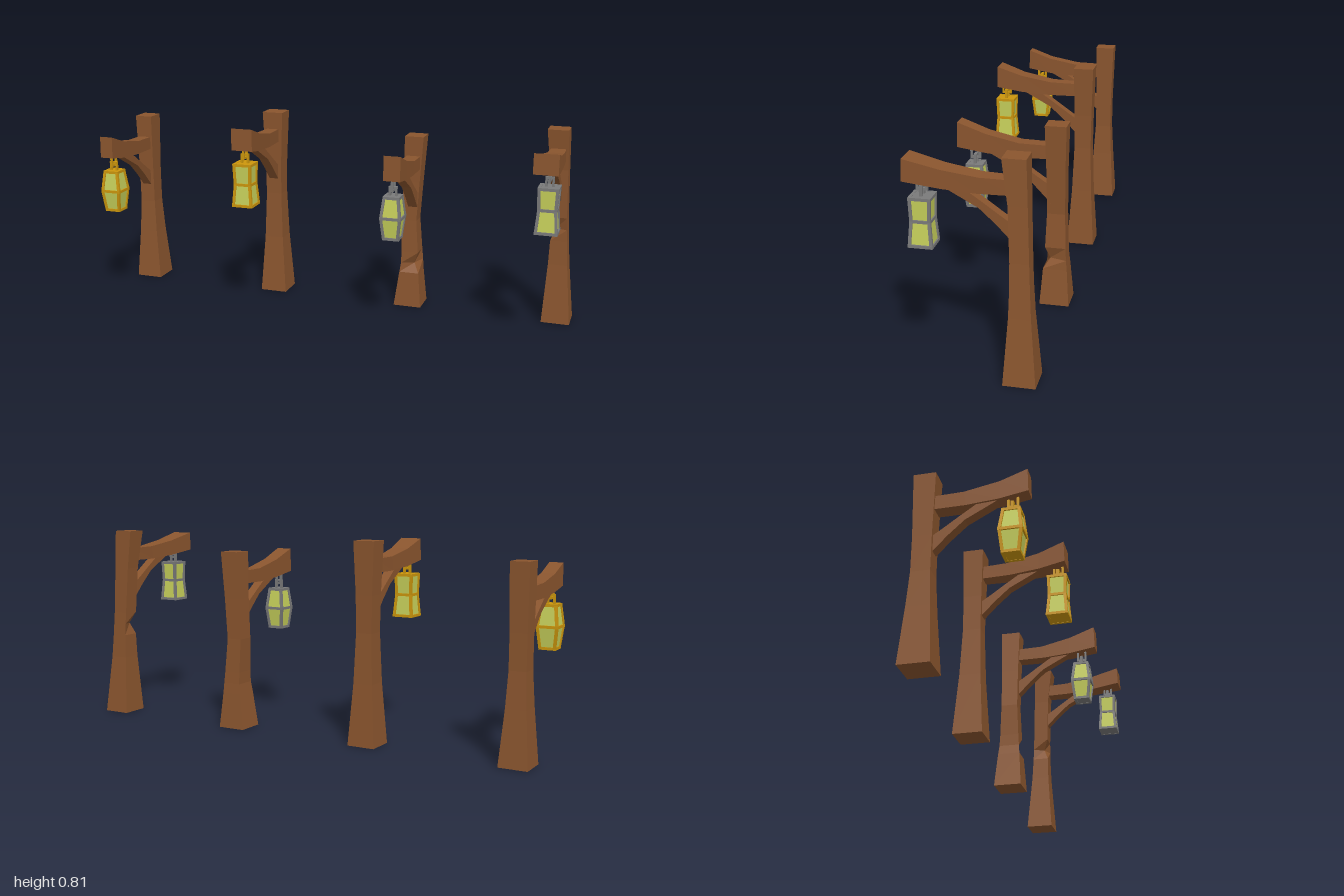
import * as THREE from 'three';

const mat = (name, color, flat = true) => {
  const m = new THREE.MeshStandardMaterial({ color, flatShading: flat });
  m.name = name;
  return m;
};

// Skin a run of four-cornered rings and cap both ends
function loft(rings) {
  const pos = [];
  const quad = (a, b, c, d) => [a, b, c, a, c, d].forEach((p) => pos.push(...p));
  for (let i = 0; i < rings.length - 1; i++) {
    for (let j = 0; j < 4; j++) {
      const k = (j + 1) % 4;
      quad(rings[i][j], rings[i][k], rings[i + 1][k], rings[i + 1][j]);
    }
  }
  const s = rings[0], e = rings[rings.length - 1];
  quad(s[3], s[2], s[1], s[0]);
  quad(e[0], e[1], e[2], e[3]);
  const g = new THREE.BufferGeometry();
  g.setAttribute('position', new THREE.Float32BufferAttribute(pos, 3));
  g.computeVertexNormals();
  return g;
}

// Upright section: [y, centre x, centre z, half x, half z, dented corner, dent depth]
const CORNERS = [[1, 1], [1, -1], [-1, -1], [-1, 1]];
const upright = (sections) => loft(sections.map(([y, x, z, hx, hz, corner, dent]) =>
  CORNERS.map(([sx, sz], i) => {
    const d = i === corner ? dent : 0;
    return [x + sx * (hx - d), y, z + sz * (hz - d)];
  })));

// Section of an arm running forwards: [bottom z, bottom y, top z, top y, half width, centre x]
const arm = (sections) => loft(sections.map(([zb, yb, zt, yt, h, x]) =>
  [[x + h, yb, zb], [x + h, yt, zt], [x - h, yt, zt], [x - h, yb, zb]]));

function add(group, name, geometry, material) {
  const m = new THREE.Mesh(geometry, material);
  m.name = name;
  group.add(m);
  return m;
}

function box(group, name, material, w, h, d, x, y, z) {
  const m = add(group, name, new THREE.BoxGeometry(w, h, d), material);
  m.position.set(x, y, z);
  return m;
}

// Square bar between two points
function bar(group, name, material, a, b, w) {
  const from = new THREE.Vector3(...a), to = new THREE.Vector3(...b);
  const m = add(group, name, new THREE.BoxGeometry(w, from.distanceTo(to), w), material);
  m.position.copy(from).lerp(to, 0.5);
  m.quaternion.setFromUnitVectors(new THREE.Vector3(0, 1, 0), to.sub(from).normalize());
}

// Two-tier lantern; levels are [y, half width] from the bottom up
function lantern(levels, metal, glass) {
  const g = new THREE.Group();
  g.name = 'lantern';
  const w = 0.011;
  add(g, 'glass', upright(levels.map(([y, h]) => [y, 0, 0, h - 0.005, h - 0.005])), glass);
  levels.forEach(([y, h], i) => {
    const c = h - w / 2;
    for (const s of [-1, 1]) {
      box(g, 'rail', metal, 2 * h, w, w, 0, y, s * c);
      box(g, 'rail', metal, w, w, 2 * h, s * c, y, 0);
    }
    if (i !== 1) box(g, i ? 'lid' : 'floor', metal, 2 * h - w, 0.009, 2 * h - w, 0, y, 0);
    if (i === levels.length - 1) return;
    const [y2, h2] = levels[i + 1], c2 = h2 - w / 2;
    for (const [sx, sz] of CORNERS) {
      bar(g, 'cornerBar', metal, [sx * c, y, sz * c], [sx * c2, y2, sz * c2], w);
    }
  });
  // Staple under the beam and the link hooked through it
  const top = levels[2][0];
  for (const s of [-1, 1]) {
    box(g, 'stapleLeg', metal, 0.009, 0.042, 0.009, 0, top + 0.046, s * 0.017);
    box(g, 'linkLeg', metal, 0.008, 0.035, 0.012, s * 0.013, top + 0.017, 0);
  }
  box(g, 'stapleBar', metal, 0.009, 0.009, 0.043, 0, top + 0.026, 0);
  box(g, 'linkBar', metal, 0.034, 0.009, 0.012, 0, top + 0.038, 0);
  return g;
}

export function createModel() {
  const root = new THREE.Group();
  const wood = mat('wood', 0x8a552e);
  const gold = mat('gold', 0xcc960c);
  const iron = mat('iron', 0x7a7a7a);
  const glass = mat('glass', 0xc6cf5a);

  const barrel = [[-0.085, 0.034], [0, 0.044], [0.083, 0.034]];
  const bell = [[-0.085, 0.044], [0.003, 0.037], [0.085, 0.04]];
  const Z = -0.174;

  // Each lamp: post sections, arm drop, beam widths and reach, lantern
  const lamps = [
    {
      post: [[0, -0.942, Z, 0.058, 0.059], [0.22, -0.943, Z, 0.041, 0.044],
        [0.36, -0.943, Z, 0.034, 0.036], [0.5, -0.943, Z, 0.034, 0.036], [0.757, -0.943, Z, 0.038, 0.042]],
      x0: -0.943, x1: -0.943, drop: 0.075, w0: 0.027, w1: 0.028, end: 0.2, rise: 0.725,
      shape: barrel, metal: gold, at: [-0.945, 0.482, 0.143],
    },
    {
      post: [[0, -0.315, Z, 0.058, 0.059], [0.25, -0.315, Z, 0.041, 0.043],
        [0.45, -0.315, Z, 0.034, 0.036], [0.6, -0.315, Z, 0.036, 0.037], [0.81, -0.315, Z, 0.045, 0.042]],
      x0: -0.315, x1: -0.315, drop: 0, w0: 0.025, w1: 0.045, end: 0.205, rise: 0.8,
      shape: bell, metal: gold, at: [-0.315, 0.565, 0.174],
    },
    {
      post: [[0, 0.305, Z, 0.059, 0.059], [0.15, 0.308, Z, 0.042, 0.048],
        [0.19, 0.31, Z, 0.038, 0.044, 0, 0.022], [0.24, 0.308, Z, 0.036, 0.041],
        [0.38, 0.3, Z, 0.033, 0.036], [0.55, 0.309, Z, 0.035, 0.037], [0.745, 0.318, Z, 0.04, 0.042]],
      x0: 0.316, x1: 0.318, drop: 0.075, w0: 0.028, w1: 0.034, end: 0.213, rise: 0.735,
      shape: barrel, metal: iron, at: [0.308, 0.475, 0.152],
    },
    {
      post: [[0, 0.938, Z, 0.058, 0.059], [0.25, 0.933, -0.172, 0.039, 0.04],
        [0.35, 0.931, -0.171, 0.034, 0.036], [0.4, 0.929, -0.17, 0.033, 0.035, 3, 0.02],
        [0.45, 0.926, -0.169, 0.033, 0.034], [0.65, 0.917, -0.163, 0.036, 0.034],
        [0.815, 0.907, -0.15, 0.042, 0.042]],
      x0: 0.912, x1: 0.908, drop: 0, w0: 0.028, w1: 0.047, end: 0.232, rise: 0.79,
      shape: bell, metal: iron, at: [0.918, 0.565, 0.174],
    },
  ];

  for (const l of lamps) {
    const lamp = new THREE.Group();
    lamp.name = 'lampPost';
    root.add(lamp);
    add(lamp, 'post', upright(l.post), wood);

    // Beam, bending upwards and widening to its tip
    const d = l.drop, mix = (t) => [l.w0 + (l.w1 - l.w0) * t, l.x0 + (l.x1 - l.x0) * t];
    add(lamp, 'beam', arm([
      [-0.16, 0.683 - d, -0.16, 0.737 - d, ...mix(0)],
      [-0.02, 0.683 - d, -0.03, 0.74 - d, ...mix(0.25)],
      [0.1, 0.692 - d, 0.1, (0.74 - d + l.rise) / 2 - 0.006, ...mix(0.6)],
      [l.end + 0.003, 0.71 - d, l.end, l.rise, ...mix(1)],
    ]), wood);

    // Curved brace beneath the beam
    add(lamp, 'brace', arm([
      [-0.155, 0.495, -0.155, 0.565], [-0.135, 0.52, -0.135, 0.583], [-0.085, 0.573, -0.095, 0.61],
      [-0.025, 0.628, -0.05, 0.642], [0.09, 0.69, 0.02, 0.69],
    ].map(([zb, yb, zt, yt]) => [zb, yb - d, zt, yt - d, 0.02, l.x0])), wood);

    const hung = lantern(l.shape, l.metal, glass);
    hung.position.set(...l.at);
    lamp.add(hung);
  }
  return root;
}
